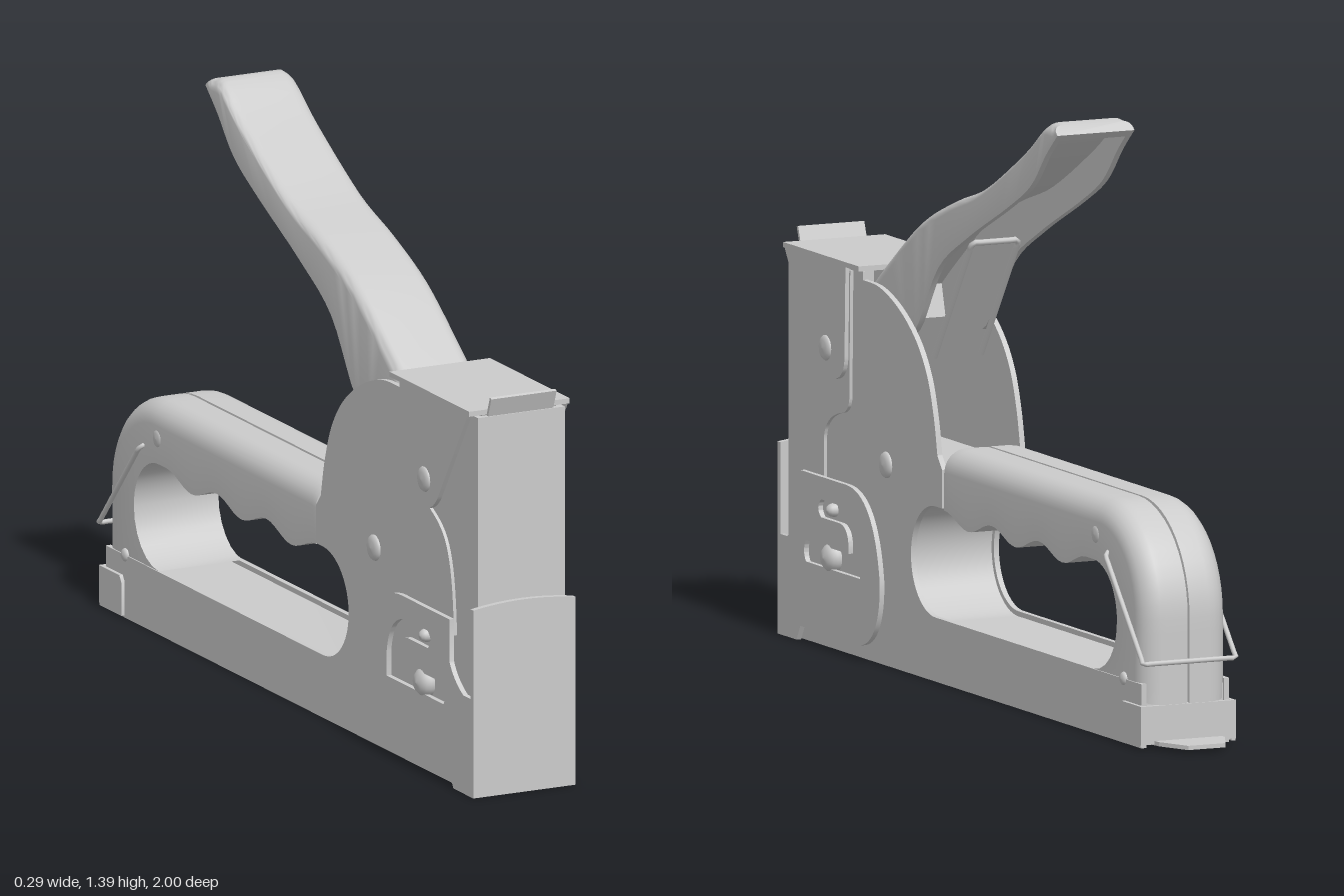
import * as THREE from 'three';
import { toCreasedNormals } from 'three/addons/utils/BufferGeometryUtils.js';

const mat = new THREE.MeshStandardMaterial({ color: 0xcccccc, side: THREE.DoubleSide });
const V3 = (x, y, z) => new THREE.Vector3(x, y, z);
const V2 = ([z, y]) => new THREE.Vector2(z, y);

export function createModel() {
  const root = new THREE.Group();
  root.name = 'stapleGun';
  const body = new THREE.Group();
  body.name = 'toolBody';
  body.position.x = -0.004;
  root.add(body);

  const add = (name, geo, x = 0, y = 0, z = 0) => {
    const m = new THREE.Mesh(geo, mat);
    m.name = name;
    m.position.set(x, y, z);
    body.add(m);
    return m;
  };
  const box = (name, w, h, d, x, y, z) => add(name, new THREE.BoxGeometry(w, h, d), x, y, z);

  // Side profile in (z, y), extruded across x and centred
  const slab = (shape, width, bevel = 0) => {
    const g = new THREE.ExtrudeGeometry(shape, {
      depth: width - 2 * bevel, bevelEnabled: bevel > 0, bevelSize: bevel, bevelThickness: bevel,
      bevelOffset: -bevel, bevelSegments: 2, curveSegments: 16,
    });
    g.translate(0, 0, bevel - width / 2).rotateY(-Math.PI / 2);
    return toCreasedNormals(g, 0.6);
  };
  // Plate on both sides, between |x| = x0 and x1
  const plates = (name, shape, x0, x1, bevel = 0) => {
    for (const s of [1, -1]) add((s > 0 ? 'left' : 'right') + name, slab(shape, x1 - x0, bevel), s * (x0 + x1) / 2);
  };
  // Round head on both sides
  const heads = (name, z, y, r, x0, x1) => {
    const h = x1 - x0;
    const profile = [[0, h], [r * 0.6, h * 0.9], [r * 0.9, h * 0.6], [r, h * 0.3], [r, 0]].reverse().map(V2);
    for (const s of [1, -1]) {
      add((s > 0 ? 'left' : 'right') + name, new THREE.LatheGeometry(profile, 20), s * x0, y, z).rotation.z = -s * Math.PI / 2;
    }
  };
  const wire = (name, pts, r) => {
    const path = new THREE.CurvePath();
    for (let i = 1; i < pts.length; i++) path.add(new THREE.LineCurve3(pts[i - 1], pts[i]));
    add(name, new THREE.TubeGeometry(new THREE.CatmullRomCurve3(path.getSpacedPoints(60), false), 80, r, 8));
  };
  // Skin over a row of closed rings, with fan caps
  const loft = (rings, crease) => {
    const n = rings[0].length, pos = rings.flat().flatMap(p => p.toArray()), idx = [];
    for (let i = 0; i < rings.length - 1; i++) {
      for (let j = 0; j < n; j++) {
        const a = i * n + j, b = i * n + (j + 1) % n;
        idx.push(a, b, a + n, b, b + n, a + n);
      }
    }
    const last = (rings.length - 1) * n;
    for (let j = 1; j < n - 1; j++) idx.push(0, j + 1, j, last, last + j, last + j + 1);
    const at = k => V3(...pos.slice(k * 3, k * 3 + 3));
    let vol = 0;
    for (let k = 0; k < idx.length; k += 3) vol += at(idx[k]).dot(at(idx[k + 1]).cross(at(idx[k + 2])));
    if (vol < 0) idx.reverse();
    const g = new THREE.BufferGeometry();
    g.setAttribute('position', new THREE.Float32BufferAttribute(pos, 3));
    g.setIndex(idx);
    return toCreasedNormals(g, crease);
  };
  // Section from an inner to an outer point: flat sides, rounded outer corners
  const section = (iz, iy, oz, oy, w, r, groove) => {
    const O = V3(0, oy, oz), d = V3(0, oy - iy, oz - iz).normalize();
    const p = (x, depth) => O.clone().addScaledVector(d, -depth).setX(x);
    const half = [];
    for (let k = 0; k <= 6; k++) {
      const a = k * Math.PI / 12;
      half.push([w - r + r * Math.cos(a), r - r * Math.sin(a)]);
    }
    if (groove) half.push([0.004, 0], [0.003, groove]);
    return [V3(w, iy, iz), ...half.map(h => p(h[0], h[1])),
      ...half.reverse().map(h => p(-h[0], h[1])), V3(-w, iy, iz)];
  };

  // Side shells: round cheek plus lower rail
  const cheek = new THREE.Shape();
  cheek.moveTo(0.98, 0).lineTo(-0.885, 0).lineTo(-0.885, 0.15).lineTo(0.205, 0.15);
  cheek.absarc(0.205, 0.28, 0.13, -Math.PI / 2, Math.PI / 2, false);
  cheek.lineTo(0.17, 0.41).lineTo(0.17, 0.5).lineTo(0.195, 0.53);
  cheek.splineThru([[0.215, 0.62], [0.25, 0.71], [0.31, 0.785], [0.4, 0.845], [0.5, 0.88], [0.59, 0.885]].map(V2));
  cheek.lineTo(0.59, 0.905).lineTo(0.98, 0.905).closePath();
  plates('Cheek', cheek, 0.1, 0.113);

  // Inner core filling the rail and lower front
  const core = new THREE.Shape();
  core.moveTo(0.97, 0.006).lineTo(-0.88, 0.006).lineTo(-0.88, 0.138).lineTo(0.205, 0.138);
  core.absarc(0.205, 0.28, 0.142, -Math.PI / 2, Math.PI / 2, false);
  core.lineTo(0.18, 0.5).lineTo(0.97, 0.5).closePath();
  add('innerCore', slab(core, 0.2));
  box('frontWall', 0.226, 0.905, 0.015, 0, 0.4525, 0.9775);

  // Grip with finger scallops, bending down into the rail
  const grip = [];
  for (let i = 0; i <= 36; i++) {
    const z = 0.165 - i * 0.75 / 36;
    const y = 0.39 + 0.016 * Math.cos(i / 12 * Math.PI * 2);
    grip.push([z, y, z, i < 1 ? 0.548 : 0.55]);
  }
  for (let i = 0; i <= 12; i++) {
    const a = Math.PI / 2 * (1 + i / 12);
    grip.push([-0.625 + 0.125 * Math.cos(a), 0.278 + 0.128 * Math.sin(a), -0.65 + 0.25 * Math.cos(a), 0.3 + 0.25 * Math.sin(a)]);
  }
  for (let i = 1; i <= 6; i++) {
    const a = Math.PI * (1 + i / 12);
    grip.push([-0.625 + 0.125 * Math.cos(a), 0.278 + 0.128 * Math.sin(a), -0.9, 0.3 - 0.2 * i / 6]);
  }
  add('grip', loft(grip.map(s => section(...s, 0.11, 0.055, 0.008)), 0.5));
  box('gripCollar', 0.2, 0.09, 0.05, 0, 0.455, 0.17);

  // Lever: channel open below, [z, y] of top and bottom edges
  const top = new THREE.SplineCurve([[0.6, 0.87], [0.5, 0.945], [0.327, 1.06], [0.16, 1.13], [-0.02, 1.19], [-0.236, 1.307], [-0.33, 1.374], [-0.365, 1.389], [-0.39, 1.385]].map(V2));
  const low = new THREE.SplineCurve([[0.56, 0.79], [0.45, 0.79], [0.345, 0.8], [0.22, 0.965], [0.06, 1.06], [-0.15, 1.16], [-0.27, 1.227], [-0.35, 1.31], [-0.412, 1.365]].map(V2));
  const lever = [], N = 40;
  for (let i = 0; i <= N; i++) {
    const T = top.getPoint(i / N), B = low.getPoint(i / N), len = T.distanceTo(B);
    const ring = section(B.x, B.y, T.x, T.y, 0.099, Math.min(0.03, len * 0.7));
    const f = i === 0 || i >= N - 2 ? 0 : 1 - Math.min(0.5, 0.016 / len);
    const M = B.clone().lerp(T, f);
    ring.push(V3(-0.085, B.y, B.x), V3(-0.085, M.y, M.x), V3(0.085, M.y, M.x), V3(0.085, B.y, B.x));
    lever.push(ring);
  }
  add('lever', loft(lever, 0.6));
  wire('leverSpringWire', [V3(0.06, 0.74, 0.32), V3(0.06, 1.035, 0.12), V3(-0.06, 1.035, 0.12), V3(-0.06, 0.74, 0.32)], 0.007);

  // Top cap with side flaps and front lip
  box('topCap', 0.262, 0.012, 0.4, 0, 0.914, 0.775);
  const flap = new THREE.Shape();
  flap.moveTo(0.972, 0.915).lineTo(0.82, 0.68).quadraticCurveTo(0.79, 0.635, 0.74, 0.635);
  flap.lineTo(0.71, 0.637).quadraticCurveTo(0.65, 0.645, 0.65, 0.7).lineTo(0.645, 0.915).closePath();
  plates('CapFlap', flap, 0.12, 0.131);
  box('capLip', 0.17, 0.055, 0.008, 0, 0.925, 0.985).rotation.x = 0.35;
  heads('CapRivet', 0.75, 0.705, 0.03, 0.128, 0.141);
  heads('PivotRivet', 0.465, 0.47, 0.031, 0.11, 0.125);

  // Pressed strap between cap and nose cover
  const strap = new THREE.Shape();
  strap.moveTo(0.64, 0.9).lineTo(0.645, 0.6).quadraticCurveTo(0.65, 0.565, 0.69, 0.56);
  strap.quadraticCurveTo(0.78, 0.54, 0.78, 0.48).lineTo(0.78, 0.36).lineTo(0.88, 0.36);
  strap.bezierCurveTo(0.87, 0.58, 0.83, 0.6, 0.75, 0.64).lineTo(0.72, 0.9).closePath();
  plates('Strap', strap, 0.11, 0.121);

  // Nose cover: front plate and slotted side plates
  const front = new THREE.Shape();
  front.moveTo(-0.133, 0).lineTo(0.133, 0).lineTo(0.133, 0.45).quadraticCurveTo(0, 0.472, -0.133, 0.45).closePath();
  add('noseFront', new THREE.ExtrudeGeometry(front, { depth: 0.014, bevelEnabled: false }), 0, 0, 0.986);
  const nose = new THREE.Shape();
  nose.moveTo(0.998, 0).lineTo(0.9, 0).lineTo(0.88, 0.035).lineTo(0.56, 0.035);
  nose.bezierCurveTo(0.48, 0.05, 0.455, 0.13, 0.46, 0.2).bezierCurveTo(0.48, 0.33, 0.54, 0.4, 0.64, 0.4);
  nose.lineTo(0.88, 0.4).lineTo(0.88, 0.3).quadraticCurveTo(0.9, 0.26, 0.95, 0.235).lineTo(0.998, 0.235).closePath();
  const slot = new THREE.Path();
  slot.moveTo(0.85, 0.19).lineTo(0.565, 0.19).lineTo(0.565, 0.25).quadraticCurveTo(0.58, 0.345, 0.67, 0.347);
  slot.lineTo(0.77, 0.347).quadraticCurveTo(0.8, 0.326, 0.77, 0.305).lineTo(0.67, 0.305);
  slot.quadraticCurveTo(0.62, 0.3, 0.625, 0.24).lineTo(0.85, 0.24).quadraticCurveTo(0.87, 0.215, 0.85, 0.19);
  nose.holes.push(slot);
  plates('NoseSide', nose, 0.121, 0.133);
  heads('NoseKnob', 0.735, 0.215, 0.035, 0.112, 0.146);
  heads('NosePin', 0.735, 0.326, 0.016, 0.112, 0.136);

  // Rear latch: bracket, pull tab, wire bail and screws
  plates('LatchSide', new THREE.Shape([[-0.79, 0.005], [-0.9, 0.005], [-0.9, 0.1], [-0.8, 0.1], [-0.79, 0.085]].map(V2)), 0.112, 0.122);
  box('latchBack', 0.244, 0.09, 0.012, 0, 0.055, -0.897);
  const tab = new THREE.Shape([[-0.09, 0.88], [0.09, 0.88], [0.085, 0.92], [0.048, 1], [-0.048, 1], [-0.085, 0.92]].map(V2));
  add('pullTab', new THREE.ExtrudeGeometry(tab, { depth: 0.01, bevelEnabled: false }).rotateX(-Math.PI / 2), 0, 0.008, 0);
  wire('wireBail', [V3(0.1, 0.435, -0.7), V3(0.119, 0.43, -0.705), V3(0.119, 0.2, -0.908), V3(-0.119, 0.2, -0.908), V3(-0.119, 0.43, -0.705), V3(-0.1, 0.435, -0.7)], 0.006);
  heads('RailScrew', -0.79, 0.15, 0.016, 0.108, 0.12);
  heads('GripScrew', -0.635, 0.465, 0.022, 0.104, 0.114);
  return root;
}
